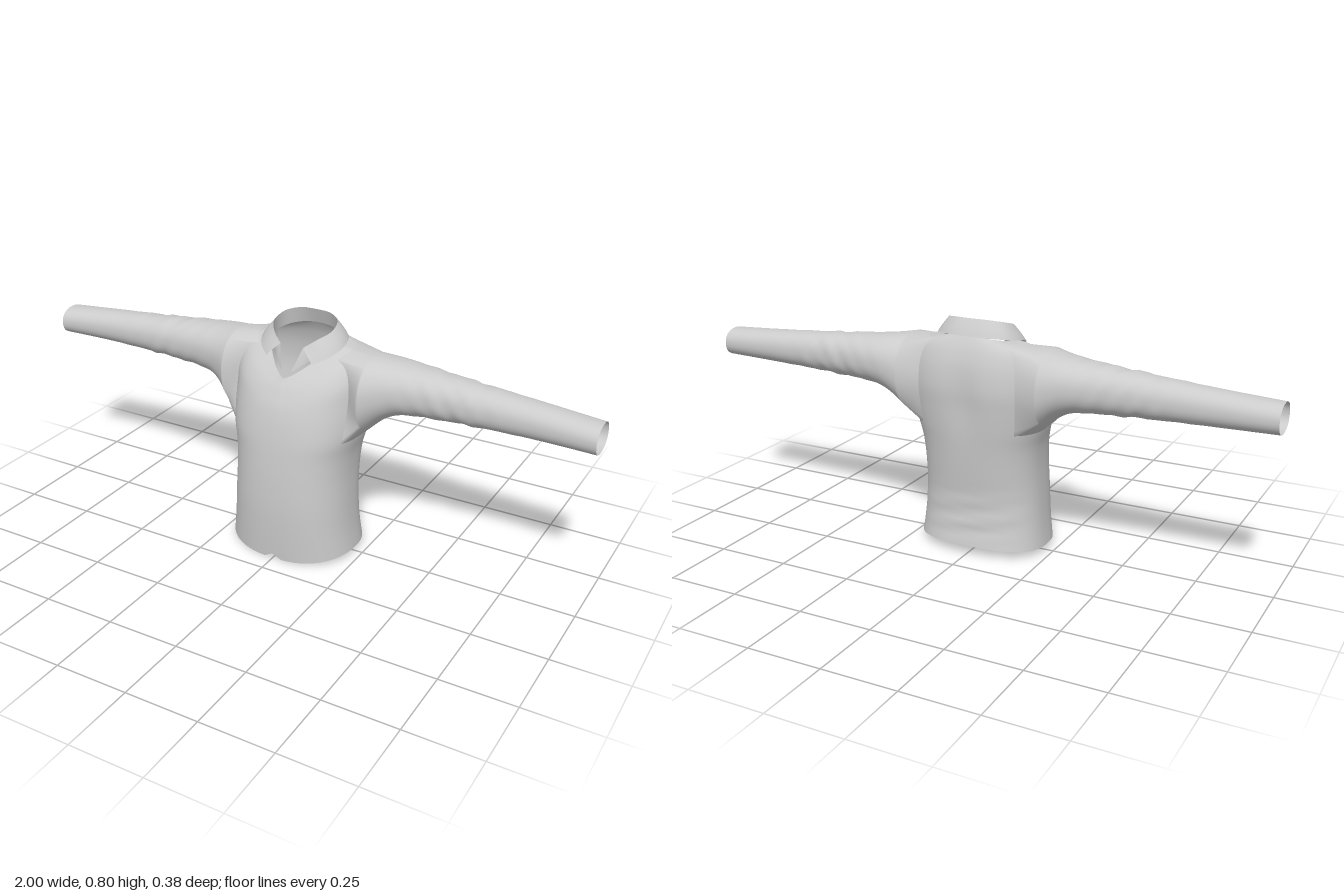
import * as THREE from 'three';

const material = new THREE.MeshStandardMaterial({ color: 0xcccccc, side: THREE.DoubleSide });
const COLS = 64, STEPS = 4;

// Surface through rows of points; closed joins each row's ends, skip leaves openings
function surface(name, rows, { closed = false, flip = false, skip = () => false } = {}) {
  const n = rows[0].length, index = [];
  for (let r = 0; r < rows.length - 1; r++) {
    for (let j = 0; j < (closed ? n : n - 1); j++) {
      if (skip(r, j)) continue;
      const k = (j + 1) % n;
      const a = r * n + j, b = r * n + k, c = a + n, d = b + n;
      if (flip) index.push(a, c, b, b, c, d);
      else index.push(a, b, c, b, d, c);
    }
  }
  const geometry = new THREE.BufferGeometry().setFromPoints(rows.flat());
  geometry.setIndex(index);
  geometry.computeVertexNormals();
  const mesh = new THREE.Mesh(geometry, material);
  mesh.name = name;
  return mesh;
}

// Smoothly resample a table of section values
function refine(table, steps) {
  const out = [], at = i => table[Math.min(Math.max(i, 0), table.length - 1)];
  for (let i = 0; i < table.length - 1; i++) {
    for (let s = 0; s < steps; s++) {
      const t = s / steps;
      out.push(table[i].map((p1, k) => {
        const p0 = at(i - 1)[k], p2 = at(i + 1)[k], p3 = at(i + 2)[k];
        return p1 + 0.5 * t * (p2 - p0 + t * (2 * p0 - 5 * p1 + 4 * p2 - p3 + t * (3 * (p1 - p2) + p3 - p0)));
      }));
    }
  }
  out.push(table[table.length - 1]);
  return out;
}

// Torso sections: y front, y side, y back, half width, z front, z back, z middle, front roundness
const torsoSections = [
  [0.00, 0.022, 0.035, 0.226, 0.181, -0.165, 0.00, 2.4],
  [0.10, 0.10, 0.10, 0.216, 0.187, -0.154, 0.00, 2.4],
  [0.20, 0.20, 0.20, 0.209, 0.190, -0.150, 0.00, 2.4],
  [0.30, 0.30, 0.30, 0.206, 0.187, -0.160, -0.01, 2.4],
  [0.38, 0.38, 0.38, 0.211, 0.181, -0.169, -0.02, 2.4],
  [0.44, 0.44, 0.44, 0.224, 0.174, -0.176, -0.03, 2.4],
  [0.50, 0.50, 0.51, 0.231, 0.163, -0.183, -0.04, 2.3],
  [0.55, 0.57, 0.58, 0.233, 0.149, -0.188, -0.05, 2.2],
  [0.585, 0.64, 0.65, 0.230, 0.133, -0.180, -0.05, 2.1],
  [0.61, 0.695, 0.70, 0.212, 0.120, -0.165, -0.05, 1.8],
  [0.625, 0.722, 0.73, 0.175, 0.110, -0.151, -0.045, 1.5],
  [0.637, 0.732, 0.75, 0.122, 0.102, -0.139, -0.04, 1.35],
];

function torsoRow([yf, ys, yb, w, zf, zb, zc, round], r) {
  return Array.from({ length: COLS }, (_, j) => {
    const a = (j / COLS) * Math.PI * 2, c = Math.cos(a), s = Math.sin(a);
    const p = 2 / (s > 0 ? round : 2.4);
    const x = w * Math.sign(c) * Math.abs(c) ** (Math.abs(c) < 1e-6 ? 1 : p);
    let z = zc + Math.abs(s) ** p * (s > 0 ? zf - zc : zb - zc);
    let y = ys + s * s * ((s > 0 ? yf : yb) - ys);
    // hollow between the shoulder blades
    if (s < 0) z += 0.012 * Math.exp(-((x / 0.05) ** 2) - ((y - 0.55) / 0.12) ** 2);
    // creases at the small of the back
    if (s < 0) z += 0.005 * s * s * Math.sin(y * 95 + x * 14) * Math.exp(-(((y - 0.14) / 0.06) ** 2));
    // notch where the front edges meet at the hem
    if (r === 0 && j === COLS / 4) y += 0.018;
    return new THREE.Vector3(x, y, z);
  });
}

// Armhole limits in the torso grid
const hole = { bottom: 5 * STEPS, top: 10 * STEPS, back: -8, front: 5 };
const wrap = j => (j + COLS) % COLS;

// Points around the left armhole, starting at its lower back corner
function armhole(rows) {
  const { bottom, top, back, front } = hole, loop = [];
  for (let j = back; j < front; j++) loop.push(rows[bottom][wrap(j)]);
  for (let r = bottom; r < top; r++) loop.push(rows[r][wrap(front)]);
  for (let j = front; j > back; j--) loop.push(rows[top][wrap(j)]);
  for (let r = top; r > bottom; r--) loop.push(rows[r][wrap(back)]);
  return loop;
}

// Sleeve sections: x, y bottom, y top, z back, z front
const sleeveSections = [
  [0.25, 0.462, 0.718, -0.175, 0.085],
  [0.30, 0.506, 0.711, -0.172, 0.052],
  [0.36, 0.532, 0.704, -0.166, 0.028],
  [0.46, 0.541, 0.694, -0.153, 0.010],
  [0.60, 0.547, 0.681, -0.140, 0.000],
  [0.80, 0.552, 0.665, -0.130, -0.005],
  [1.00, 0.554, 0.650, -0.119, 0.003],
];

function sleeveRows(loop) {
  const angles = loop.map(p => Math.atan2((p.y - 0.585) / 0.14, (p.z + 0.045) / 0.11));
  const rings = refine(sleeveSections, 6).map(([x, y0, y1, z0, z1]) => angles.map(a => {
    // wrinkles gathered around the elbow
    const fold = 1 + 0.05 * Math.exp(-(((x - 0.56) / 0.14) ** 2)) * Math.sin(x * 75 + 3 * a) * Math.cos(2 * a + x * 19);
    const c = Math.cos(a), s = Math.sin(a);
    return new THREE.Vector3(
      x,
      (y0 + y1) / 2 + Math.sign(s) * Math.abs(s) ** 0.9 * fold * (y1 - y0) / 2,
      (z0 + z1) / 2 + Math.sign(c) * Math.abs(c) ** 0.9 * fold * (z1 - z0) / 2);
  }));
  return [loop, ...rings];
}

const mirrorRows = rows => rows.map(row => row.map(p => new THREE.Vector3(-p.x, p.y, p.z)));

// Mirrored collar line, running from the left front round the back to the right front
function collarLine(half) {
  const left = half.map(p => new THREE.Vector3(...p));
  const right = left.slice(0, -1).reverse().map(p => new THREE.Vector3(-p.x, p.y, p.z));
  return new THREE.CatmullRomCurve3([...left, ...right]).getPoints(60);
}

function between(lineA, lineB, count, bulge) {
  return Array.from({ length: count + 1 }, (_, i) => {
    const t = i / count;
    return lineA.map((p, j) => {
      const q = p.clone().lerp(lineB[j], t), k = 1 + bulge * Math.sin(Math.PI * t);
      return q.set(q.x * k, q.y, (q.z + 0.04) * k - 0.04);
    });
  });
}

export function createModel() {
  const shirt = new THREE.Group();
  shirt.name = 'shirt';

  // Torso with an armhole on each side
  const rows = refine(torsoSections, STEPS).map(torsoRow);
  const inHole = j => j >= hole.back && j < hole.front;
  const skip = (r, j) => {
    if (r < hole.bottom || r >= hole.top) return false;
    const signed = j >= COLS / 2 ? j - COLS : j;
    return inHole(signed) || inHole(COLS / 2 - 1 - j);
  };
  shirt.add(surface('torso', rows, { closed: true, flip: true, skip }));

  // Sleeves grown from the armhole edges
  const sleeve = sleeveRows(armhole(rows));
  shirt.add(surface('leftSleeve', sleeve, { closed: true, flip: true }));
  shirt.add(surface('rightSleeve', mirrorRows(sleeve), { closed: true }));

  // Collar: inner stand and folded outer leaf
  const base = collarLine([[0.018, 0.655, 0.085], [0.07, 0.695, 0.04], [0.112, 0.728, -0.03],
    [0.1, 0.738, -0.09], [0.058, 0.746, -0.127], [0, 0.75, -0.136]]);
  const fold = collarLine([[0.042, 0.732, 0.048], [0.078, 0.757, 0.024], [0.106, 0.775, -0.02],
    [0.098, 0.793, -0.08], [0.055, 0.802, -0.111], [0, 0.803, -0.117]]);
  const edge = collarLine([[0.085, 0.688, 0.066], [0.126, 0.708, 0.03], [0.148, 0.729, -0.03],
    [0.129, 0.742, -0.1], [0.07, 0.749, -0.138], [0, 0.75, -0.146]]);
  shirt.add(surface('collarStand', between(base, fold, 4, 0)));
  shirt.add(surface('collarLeaf', between(fold, edge, 5, 0.02), { flip: true }));

  // Overlapping front edge
  const mid = COLS / 4;
  const placket = rows.map(row => [row[mid], row[mid], row[mid - 1]].map((p, i) =>
    new THREE.Vector3(p.x, Math.max(p.y, 0.004), p.z + (i === 1 ? 0.003 : 0.001))));
  shirt.add(surface('placket', placket.slice(1, -3), { flip: false }));

  return shirt;
}
